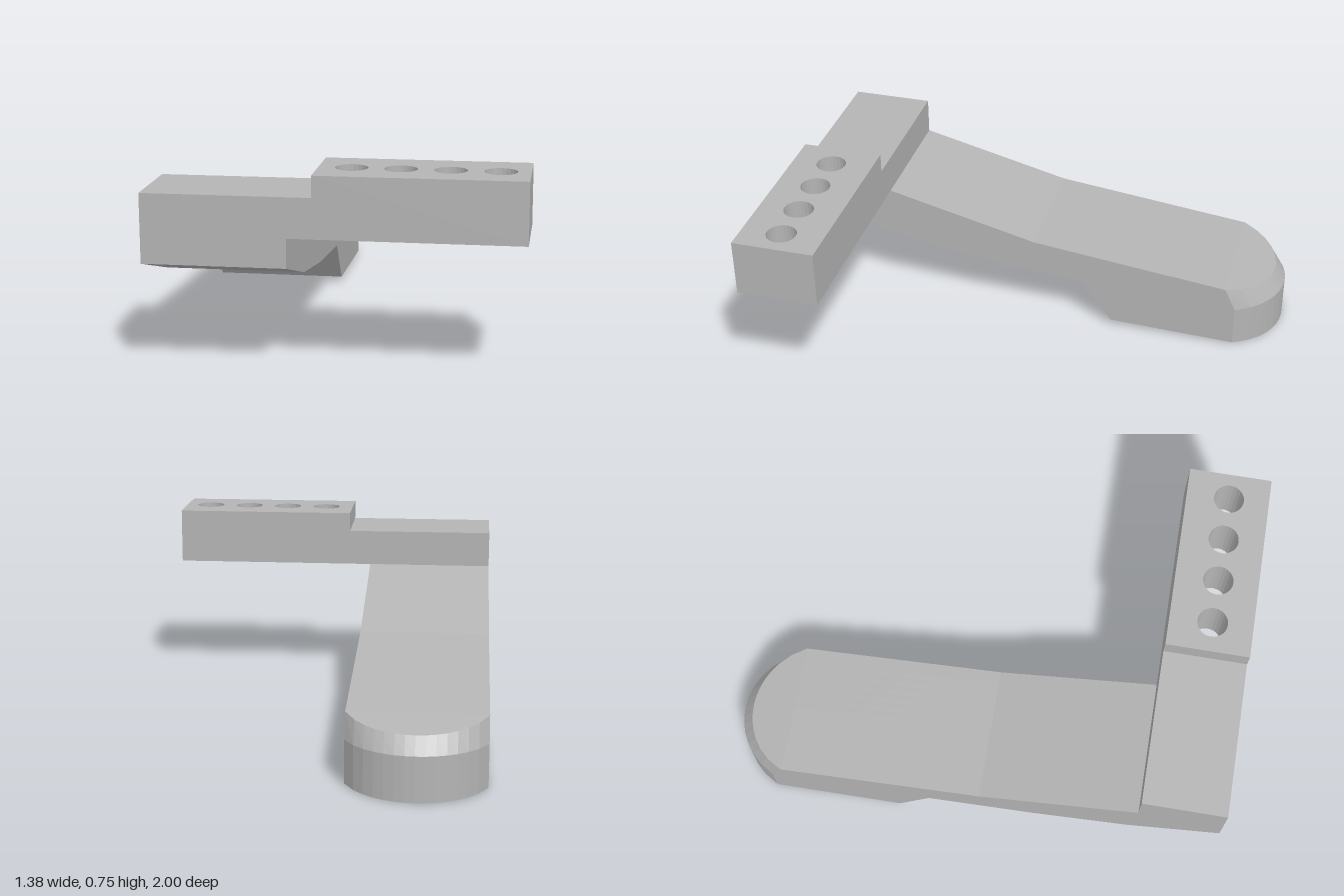
import * as THREE from 'three';
import { mergeGeometries } from 'three/addons/utils/BufferGeometryUtils.js';

const MID = -0.427, HALF = 0.265;          // centre line and half width of the arm
const NOSE_R = 0.29, COLUMNS = 14;
const HOLE_R = 0.09, HOLE_DEPTH = 0.12;

const soleY = z => 0.025 * (z + 1) / 0.7;
const noseZ = x => -1 + NOSE_R - Math.sqrt(NOSE_R ** 2 - (x - MID) ** 2);

// Closed side outline [z, y] of the arm at a given x; only the nose changes with x
function outline(x) {
  const outer = noseZ(x), inner = outer + 0.045;
  return [
    [1, 0.41], [0.64, 0.30], [0.26, 0.24], [-0.17, 0.20], [-0.30, 0.025],
    [outer, soleY(outer)], [outer, 0.175], [inner, 0.27 + 0.174 * (inner + 0.78)],
    [-0.78, 0.27], [0.04, 0.365], [0.67, 0.52], [1, 0.52],
  ];
}
const SOLE_EDGE = 4;                        // outline edge left open for the drilled sole

// Faceted version of a geometry, stripped to position and normal
function faceted(geometry) {
  const g = geometry.index ? geometry.toNonIndexed() : geometry;
  g.deleteAttribute('uv');
  g.computeVertexNormals();
  return g;
}

function holeAt(x, y, r) {
  return new THREE.Path().absarc(x, y, r, 0, Math.PI * 2, true);
}

// Follow the slight slope of the sole
function slopeSole(geometry) {
  const p = geometry.attributes.position;
  for (let i = 0; i < p.count; i++) p.setY(i, p.getY(i) + soleY(p.getZ(i)));
  return geometry;
}

export function createModel() {
  const group = new THREE.Group();
  const grey = new THREE.MeshStandardMaterial({ color: 0xb4b4b4, side: THREE.DoubleSide });
  grey.name = 'plain grey';
  const add = (name, geometry) => {
    const mesh = new THREE.Mesh(geometry, grey);
    mesh.name = name;
    group.add(mesh);
  };

  // Arm skin: side outlines joined across the width
  const xs = Array.from({ length: COLUMNS + 1 }, (_, i) => MID - HALF + (2 * HALF * i) / COLUMNS);
  const pos = [];
  for (let i = 0; i < COLUMNS; i++) {
    const p = outline(xs[i]), q = outline(xs[i + 1]);
    for (let j = 0; j < p.length; j++) {
      if (j === SOLE_EDGE) continue;
      const k = (j + 1) % p.length;
      const a = [xs[i], p[j][1], p[j][0]], b = [xs[i], p[k][1], p[k][0]];
      const c = [xs[i + 1], q[k][1], q[k][0]], d = [xs[i + 1], q[j][1], q[j][0]];
      pos.push(...a, ...b, ...c, ...a, ...c, ...d);
    }
  }
  const skin = new THREE.BufferGeometry();
  skin.setAttribute('position', new THREE.Float32BufferAttribute(pos, 3));

  // Flat flanks of the arm
  const flanks = [-1, 1].map(side => {
    const x = MID + side * HALF;
    const shape = new THREE.Shape(outline(x).map(([z, y]) => new THREE.Vector2(-side * z, y)));
    return new THREE.ShapeGeometry(shape).rotateY(side * Math.PI / 2).translate(x, 0, 0);
  });
  add('arm', mergeGeometries([skin, ...flanks].map(faceted)));

  // Sole of the pad with two blind holes
  const holeZs = [-0.43, -0.72];
  const sole = new THREE.Shape([
    new THREE.Vector2(MID + HALF, -0.30), new THREE.Vector2(MID - HALF, -0.30),
    ...xs.map(x => new THREE.Vector2(x, noseZ(x))),
  ]);
  holeZs.forEach(z => sole.holes.push(holeAt(MID, z, HOLE_R)));
  add('padSole', faceted(slopeSole(new THREE.ShapeGeometry(sole, 12).rotateX(Math.PI / 2))));

  holeZs.forEach((z, i) => {
    const profile = [[0, HOLE_DEPTH], [HOLE_R, HOLE_DEPTH], [HOLE_R, 0]].map(v => new THREE.Vector2(...v));
    const well = new THREE.LatheGeometry(profile, 24).translate(MID, 0, z);
    add(`padHole${i + 1}`, faceted(slopeSole(well)));
  });

  // Lower block of the crossbar above the arm
  add('crossbarBase', faceted(new THREE.BoxGeometry(0.622, 0.15, 0.33).translate(-0.381, 0.595, 0.835)));

  // Raised block of the crossbar with four through holes
  const bar = new THREE.Shape([[-0.07, -1], [0.692, -1], [0.692, -0.67], [-0.07, -0.67]]
    .map(v => new THREE.Vector2(...v)));
  for (let i = 0; i < 4; i++) bar.holes.push(holeAt(0.05 + i * 0.178, -0.84, 0.06));
  const barGeometry = new THREE.ExtrudeGeometry(bar, { depth: 0.23, bevelEnabled: false, curveSegments: 12 });
  add('drilledCrossbar', faceted(barGeometry.rotateX(-Math.PI / 2).translate(0, 0.52, 0)));

  return group;
}
